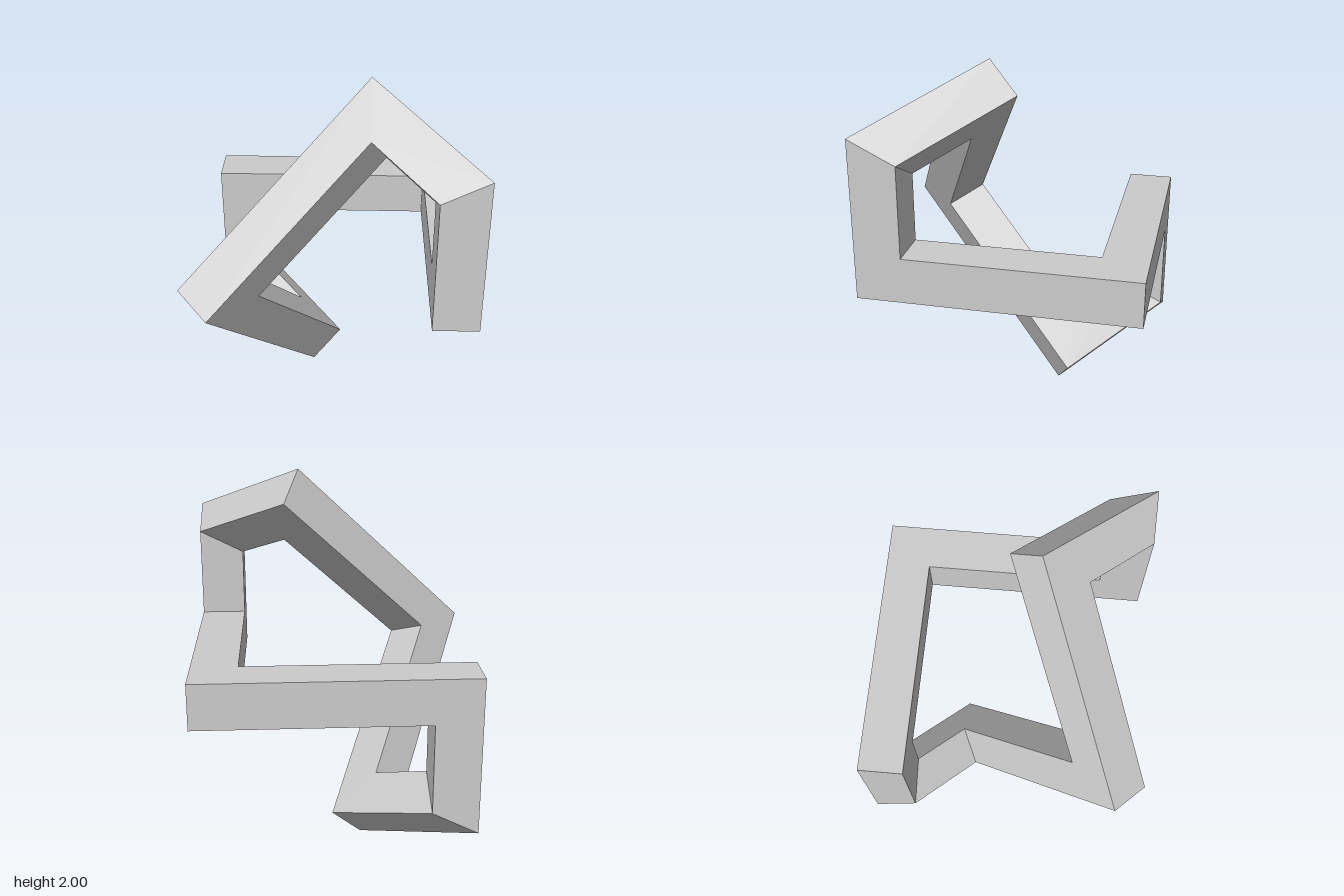
import * as THREE from 'three';

// Centre line of the closed knot: eight corners joined by straight square beams
const CORNERS = [
  [-0.56, 1, -0.64], [0.64, 1, -0.64], [0.64, 1, 0.56], [0.64, 1.6, 0.56],
  [0.24, 1.8, 0.16], [-0.56, 1, 0.56], [-0.16, 0.2, -0.24], [-0.56, 0.4, -0.64],
].map((c) => new THREE.Vector3(...c));

const NAMES = [
  'backBeam', 'leftBeam', 'frontPost', 'upperBeam',
  'longSlopingBeam', 'descendingBeam', 'lowerBeam', 'backPost',
];

const HALF = 0.12; // half the beam thickness
const COUNT = CORNERS.length;
const at = (list, i) => list[(i + COUNT) % COUNT];

// Slide a point along a beam until it meets the mitre plane
function slide(point, dir, corner, normal) {
  const t = corner.clone().sub(point).dot(normal) / dir.dot(normal);
  return point.clone().addScaledVector(dir, t);
}

// Four side faces between two mitred ends
function beamGeometry(start, end) {
  const positions = [];
  for (let k = 0; k < 4; k++) {
    const n = (k + 1) % 4;
    for (const p of [start[k], end[k], end[n], start[k], end[n], start[n]]) {
      positions.push(p.x, p.y, p.z);
    }
  }
  const geometry = new THREE.BufferGeometry();
  geometry.setAttribute('position', new THREE.Float32BufferAttribute(positions, 3));
  geometry.computeVertexNormals();
  return geometry;
}

export function createModel() {
  const group = new THREE.Group();
  group.name = 'knottedSquareBar';
  const material = new THREE.MeshStandardMaterial({ color: 0xcccccc, flatShading: true });

  // Beam directions and the mitre plane at each corner
  const dirs = CORNERS.map((c, i) => at(CORNERS, i + 1).clone().sub(c).normalize());
  const mitres = dirs.map((d, i) => at(dirs, i - 1).clone().add(d));

  // Square section of the back beam, carried around the loop from mitre to mitre
  let section = [[1, 1], [1, -1], [-1, -1], [-1, 1]].map(
    ([y, z]) => new THREE.Vector3(0, 1 + y * HALF, -0.64 + z * HALF),
  );
  for (let i = 0; i < COUNT; i++) {
    const start = section.map((p) => slide(p, dirs[i], CORNERS[i], mitres[i]));
    const end = section.map((p) => slide(p, dirs[i], at(CORNERS, i + 1), at(mitres, i + 1)));
    const beam = new THREE.Mesh(beamGeometry(start, end), material);
    beam.name = NAMES[i];
    group.add(beam);
    section = end;
  }
  return group;
}
